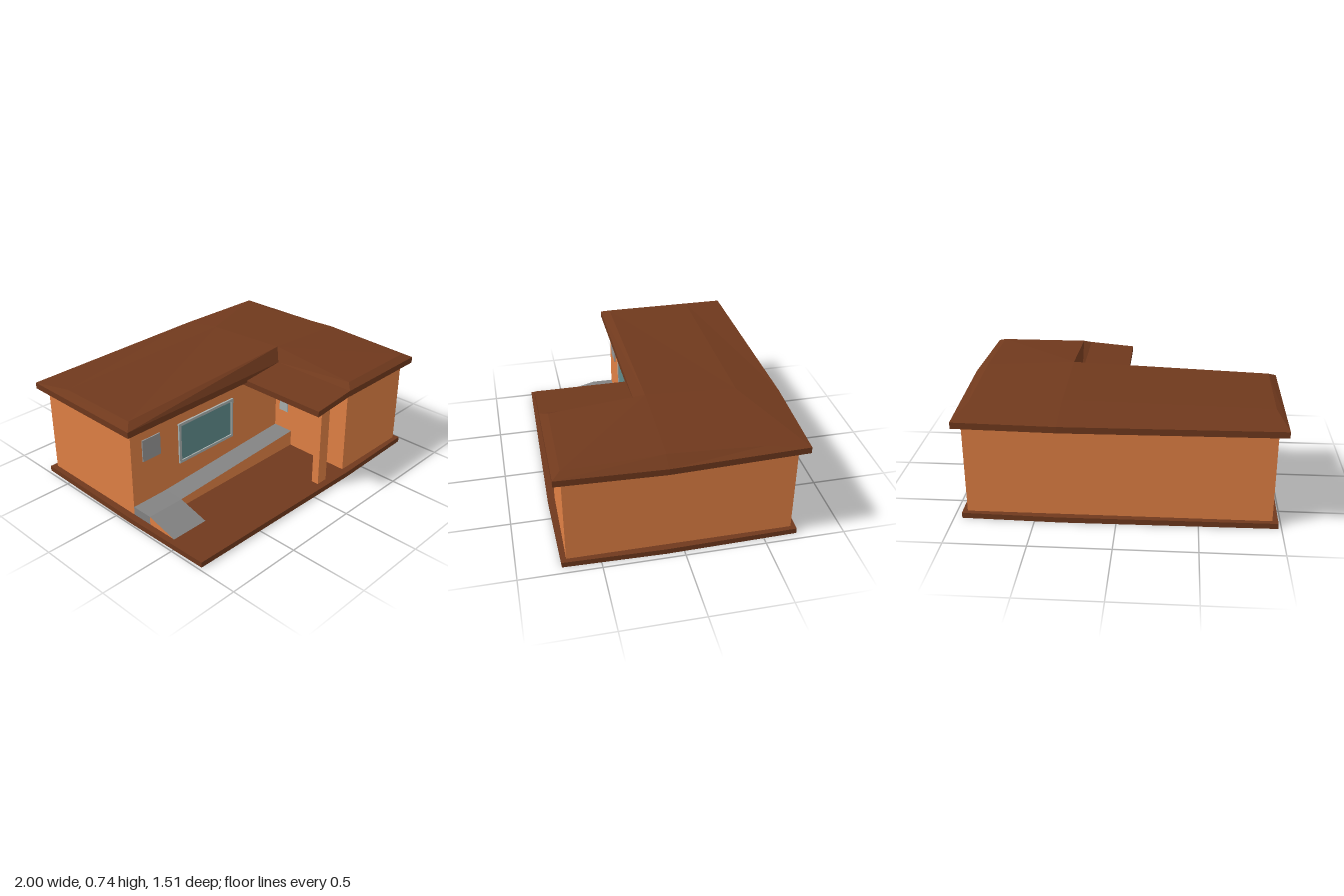
import * as THREE from 'three';

const mat = (color) => new THREE.MeshStandardMaterial({ color, flatShading: true });

export function createModel() {
  const model = new THREE.Group();
  const brown = mat(0x70391d), orange = mat(0xe08044), grey = mat(0x828282);
  const glass = mat(0x5f8c8c), frameGrey = mat(0xa8b0ae);

  const add = (name, geometry, material) => {
    const mesh = new THREE.Mesh(geometry, material);
    mesh.name = name;
    model.add(mesh);
    return mesh;
  };
  const extrude = (pts, depth) => new THREE.ExtrudeGeometry(
    new THREE.Shape(pts.map(([a, b]) => new THREE.Vector2(a, b))), { depth, bevelEnabled: false });
  // Floor-plan outline of [x, z] points raised from y0 to y1
  const raise = (plan, y0, y1) =>
    extrude(plan.map(([x, z]) => [x, -z]), y1 - y0).rotateX(-Math.PI / 2).translate(0, y0, 0);
  // Box given by its extents
  const box = (name, x0, x1, y0, y1, z0, z1, material) => add(name,
    new THREE.BoxGeometry(x1 - x0, y1 - y0, z1 - z0)
      .translate((x0 + x1) / 2, (y0 + y1) / 2, (z0 + z1) / 2), material);

  // Slightly bowed ground slab
  add('groundSlab', raise([[-0.98, 0.73], [0.34, 0.75], [0.95, 0.735], [0.965, 0.11],
    [0.95, -0.71], [0.34, -0.725], [-0.98, -0.71], [-0.99, 0.11]], 0, 0.035), brown);

  // L-shaped walls
  add('walls', raise([[-0.945, 0.11], [0.34, 0.11], [0.34, 0.705], [0.92, 0.705],
    [0.92, -0.68], [-0.945, -0.68]], 0.035, 0.63), orange);

  // Roof: eave outline [x, z] paired with an upper ring [x, y, z]
  const eave = [[-1, 0.165], [0.29, 0.165], [0.29, 0.755], [0.975, 0.755],
    [1, 0.11], [0.97, -0.735], [0.34, -0.755], [-1, -0.735]];
  const upper = [[-0.945, 0.685, 0.11], [0.34, 0.735, 0.11], [0.34, 0.68, 0.705], [0.92, 0.68, 0.705],
    [0.92, 0.703, 0.11], [0.92, 0.672, -0.47], [0.34, 0.705, -0.47], [-0.945, 0.68, -0.47]];
  const low = eave.map(([x, z]) => [x, 0.615, z]);
  const mid = eave.map(([x, z]) => [x, 0.655, z]);
  const verts = [];
  const quad = (a, b, c, d) => verts.push(...a, ...b, ...c, ...a, ...c, ...d);
  eave.forEach((_, i) => {
    const j = (i + 1) % eave.length;
    quad(low[i], low[j], mid[j], mid[i]);
    quad(mid[i], mid[j], upper[j], upper[i]);
  });
  for (const [a, b, c, d] of [[0, 1, 6, 7], [1, 4, 5, 6], [1, 2, 3, 4]]) {
    quad(upper[a], upper[b], upper[c], upper[d]);
    quad(low[d], low[c], low[b], low[a]);
  }
  const roof = new THREE.BufferGeometry();
  roof.setAttribute('position', new THREE.Float32BufferAttribute(verts, 3));
  roof.computeVertexNormals();
  add('roof', roof, brown);

  // Sloping porch canopy and its post
  add('porchCanopy', extrude([[-0.015, 0.59], [0.29, 0.617], [0.29, 0.655], [-0.015, 0.628]], 0.635)
    .translate(0, 0, 0.12), brown);
  box('porchPost', 0.09, 0.17, 0.035, 0.605, 0.65, 0.7, orange);

  // Rising walkway along the wall and the ramp leading up to it
  add('walkway', extrude([[-0.945, 0.035], [0.34, 0.035], [0.34, 0.145], [-0.69, 0.09], [-0.945, 0.09]], 0.145)
    .translate(0, 0, 0.11), [orange, grey]);
  add('ramp', extrude([[0.255, 0.035], [0.465, 0.035], [0.255, 0.09]], 0.255)
    .rotateY(-Math.PI / 2).translate(-0.69, 0, 0), [orange, grey]);

  // Front window: frame bars around a pane
  const [x0, x1, y0, y1, t] = [-0.57, -0.095, 0.235, 0.515, 0.018];
  box('windowPane', x0 + t, x1 - t, y0 + t, y1 - t, 0.105, 0.114, glass);
  for (const y of [y0, y1 - t]) box('windowFrame', x0, x1, y, y + t, 0.105, 0.122, frameGrey);
  for (const x of [x0, x1 - t]) box('windowFrame', x, x + t, y0 + t, y1 - t, 0.105, 0.122, frameGrey);

  // Wall plate, and the small panel on the porch side of the wing
  box('wallPlate', -0.86, -0.72, 0.375, 0.52, 0.105, 0.118, mat(0x959595));
  box('sidePanel', 0.335, 0.345, 0.28, 0.44, 0.15, 0.22, frameGrey);

  return model;
}
